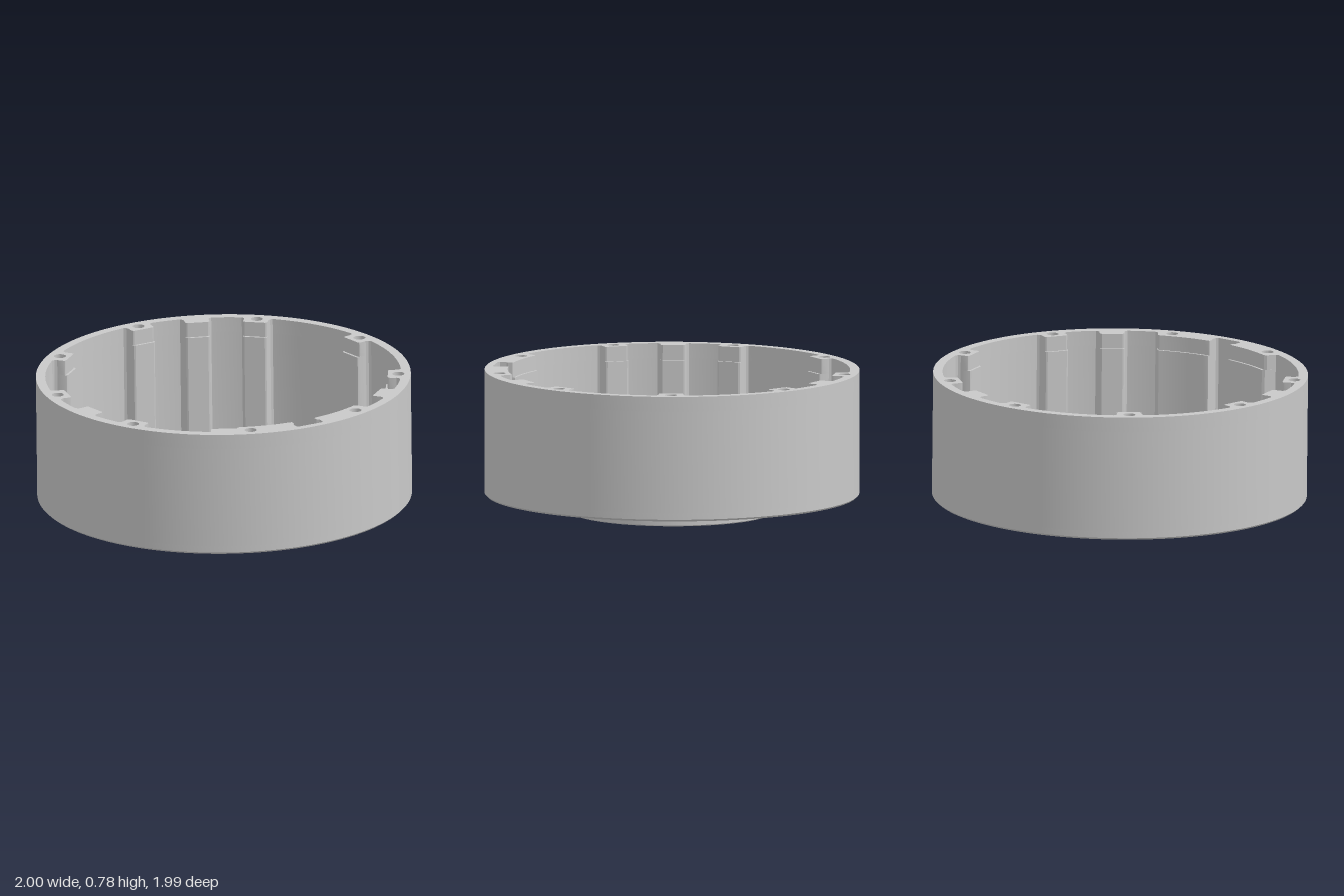
import * as THREE from 'three';
import { toCreasedNormals } from 'three/addons/utils/BufferGeometryUtils.js';

const OUTER = 0.996, WALL = 0.946, BORE = 0.47;
const EDGE = 0.01, FLOOR = 0.045, HEIGHT = 0.67, STEP = 0.08;
const PADS = [20, 140, 260];                                   // bosses with blind holes
const BOLTS = Array.from({ length: 9 }, (_, i) => i * 40);     // through holes
const ALL_HOLES = [...BOLTS, ...PADS];
const rad = THREE.MathUtils.degToRad;

// Angles run from the back towards +x
const polar = (deg, r) => new THREE.Vector2(Math.sin(rad(deg)) * r, Math.cos(rad(deg)) * r);

// Place [tangential, radial] points at an angle around the ring
function place(deg, pts) {
  const s = Math.sin(rad(deg)), c = Math.cos(rad(deg));
  return pts.map(([t, r]) => new THREE.Vector2(r * s + t * c, r * c - t * s));
}

function arc(from, to, r) {
  const n = Math.max(2, Math.ceil((to - from) / 2));
  return Array.from({ length: n + 1 }, (_, i) => polar(from + (to - from) * i / n, r));
}

// Inner contour: round wall, filleted bosses, thick front sector with a slot
function innerOutline(bossR) {
  const half = [[-0.084, 0.942], [-0.072, 0.934], [-0.066, 0.92],
    [-0.066, bossR + 0.012], [-0.063, bossR + 0.004], [-0.055, bossR]];
  const boss = [...half, ...half.map(([t, r]) => [-t, r]).reverse()];
  const slot = [[-0.068, bossR], [-0.068, 0.9], [-0.08, 0.91], [-0.08, 0.945], [-0.07, 0.956]];
  const slotPts = [...slot, ...slot.map(([t, r]) => [-t, r]).reverse()];
  const features = [0, 20, 40, 80, 120, 140, 180, 240, 260, 280, 320];
  const pts = [];
  features.forEach((a, i) => {
    const next = features[i + 1] ?? 360;
    if (a === 180) {
      pts.push(polar(155.2, 0.935), polar(155.8, bossR + 0.012), ...arc(156.5, 175, bossR));
      pts.push(...place(180, slotPts));
      pts.push(...arc(185, 203.5, bossR), polar(204.2, bossR + 0.012), polar(204.8, 0.935));
    } else {
      pts.push(...place(a, boss));
    }
    pts.push(...arc(a === 180 ? 205.8 : a + 5.7, next === 180 ? 154.2 : next - 5.7, WALL));
  });
  return pts;
}

// Flat ring with an inner contour and bolt holes, extruded upwards;
// chamfer pulls in the lower outer edge
function ringLayer(name, inner, holeAngles, y, height, material, chamfer = 0) {
  // Counterclockwise outside, so that the hole walls face inwards
  const shape = new THREE.Shape(arc(0, 358, OUTER).reverse());
  shape.holes.push(new THREE.Path(inner));
  for (const a of holeAngles) {
    const p = polar(a, 0.93);
    shape.holes.push(new THREE.Path().absarc(p.x, p.y, 0.032, 0, Math.PI * 2, true));
  }
  const geo = new THREE.ExtrudeGeometry(shape, { depth: height, bevelEnabled: false, curveSegments: 10 });
  geo.rotateX(-Math.PI / 2);
  const pos = geo.attributes.position;
  for (let i = 0; i < pos.count; i++) {
    const x = pos.getX(i), z = pos.getZ(i);
    if (pos.getY(i) < height / 2 && Math.hypot(x, z) > OUTER - 0.001) {
      const k = 1 - chamfer / OUTER;
      pos.setX(i, x * k);
      pos.setZ(i, z * k);
    }
  }
  const mesh = new THREE.Mesh(toCreasedNormals(geo, 0.4), material);
  mesh.name = name;
  mesh.position.y = y;
  return mesh;
}

export function createModel() {
  const grey = new THREE.MeshStandardMaterial({ color: 0xc8c8c8 });
  grey.name = 'metalGrey';
  const housing = new THREE.Group();
  housing.name = 'housing';

  // Chamfered base, floor plate, main wall and slightly recessed rim
  const floorBore = arc(0, 358, BORE);
  housing.add(
    ringLayer('baseEdge', floorBore, ALL_HOLES, 0, EDGE, grey, EDGE),
    ringLayer('floorPlate', floorBore, ALL_HOLES, EDGE, FLOOR - EDGE, grey),
    ringLayer('lowerWall', innerOutline(0.862), ALL_HOLES, FLOOR, HEIGHT - FLOOR - STEP, grey),
    ringLayer('rim', innerOutline(0.874), BOLTS, HEIGHT - STEP, STEP, grey),
  );

  // Hub collar below the floor, with a stepped and grooved bore
  const profile = [[BORE, 0], [BORE, -0.04], [0.5, -0.04], [0.5, -0.058], [0.484, -0.058],
    [0.484, -0.093], [0.538, -0.093], [0.543, -0.088], [0.543, 0]]
    .map(([r, y]) => new THREE.Vector2(r, y));
  const hub = new THREE.Mesh(toCreasedNormals(new THREE.LatheGeometry(profile, 120), 0.4), grey);
  hub.name = 'hubCollar';
  housing.add(hub);

  // The whole housing leans very slightly
  housing.rotation.z = 0.0128;
  housing.position.set(0.005, 0.1, 0);
  const model = new THREE.Group();
  model.name = 'ringHousing';
  model.add(housing);
  return model;
}
